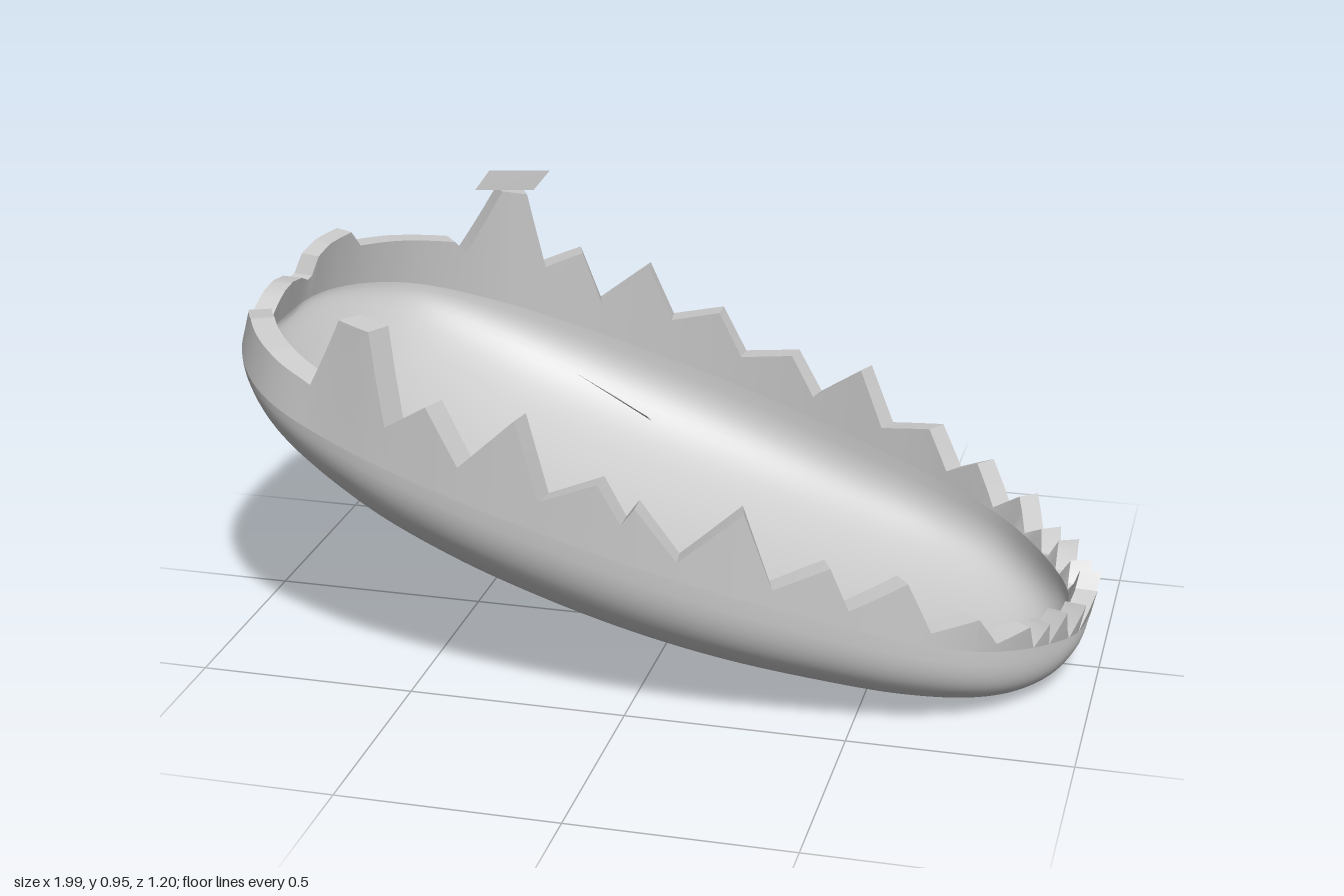
import * as THREE from 'three';
import { toCreasedNormals } from 'three/addons/utils/BufferGeometryUtils.js';

const N = 100;                                 // stations along the length
const seam = (x) => 0.42 - 0.3 * x;            // sloping plane where bowl meets rim
const INNER = { x: 0.95, w: 0.91, d: 0.87 };   // inner skin, scaled from the outer one
const { smoothstep } = THREE.MathUtils;

// Stations: x, half width, bottom height
const spine = new THREE.CatmullRomCurve3([
  [-1, 0, 0.72], [-0.997, 0.12, 0.7], [-0.97, 0.245, 0.655], [-0.9, 0.385, 0.56], [-0.8, 0.485, 0.458],
  [-0.6, 0.563, 0.325], [-0.4, 0.593, 0.235], [-0.2, 0.6, 0.167], [0, 0.593, 0.112], [0.2, 0.567, 0.068],
  [0.4, 0.522, 0.035], [0.6, 0.465, 0.01], [0.75, 0.39, 0.001], [0.84, 0.305, 0.005], [0.91, 0.205, 0.03],
  [0.955, 0.11, 0.08], [0.972, 0, 0.128],
].map((p) => new THREE.Vector3(...p)), false, 'centripetal');
const stations = spine.getSpacedPoints(N);

// Indexed surface from rows of points
function grid(rows, flip = false) {
  const n = rows[0].length, index = [];
  for (let i = 0; i < rows.length - 1; i++) {
    for (let j = 0; j < n - 1; j++) {
      const a = i * n + j, b = a + n, c = b + 1, d = a + 1;
      if (flip) index.push(a, c, b, a, d, c);
      else index.push(a, b, c, a, c, d);
    }
  }
  const g = new THREE.BufferGeometry();
  g.setAttribute('position', new THREE.Float32BufferAttribute(rows.flat(2), 3));
  g.setIndex(index);
  g.computeVertexNormals();
  return g;
}

// Bowl skin: superelliptic half sections, squarer towards the low end
function bowl(k, flip) {
  const M = 44;
  const rows = stations.map((s) => {
    const depth = Math.max(0, seam(s.x) - s.z) * k.d;
    const e = 2 / (2.5 + 0.5 * s.x), x = s.x * k.x, row = [];
    for (let j = 0; j <= M; j++) {
      const t = (j / M - 0.5) * Math.PI;
      const side = Math.sign(t) * Math.abs(Math.sin(t)) ** e;
      const down = Math.max(0, Math.cos(t)) ** e;
      row.push([x, seam(x) - depth * down, s.y * k.w * side]);
    }
    return row;
  });
  return grid(rows, flip);
}

// Fractional station where a coordinate ('x' or width 'y') crosses a value
function locate(key, value, from, to) {
  for (let i = from; i < to; i++) {
    const a = stations[i][key], b = stations[i + 1][key];
    if ((a - value) * (b - value) <= 0 && a !== b) return i + (value - a) / (b - a);
  }
  return from;
}
const half = N / 2;
const around = (k, sign) => (sign > 0 ? k : 2 * N - k);
const sidePoint = (sign) => ([x, y]) => [around(locate('x', x, 0, N), sign), y];
const backPoint = ([z, y]) => [around(locate('y', Math.abs(z), 0, half - 18), z), y];
const frontPoint = ([z, y]) => [around(locate('y', Math.abs(z), half + 12, N), z || 1), y];

// Broken edge: heights around the rim
function rimHeights() {
  const left = [[-0.74, 0.74], [-0.71, 0.73], [-0.64, 0.89], [-0.55, 0.88], [-0.51, 0.67], [-0.41, 0.73],
    [-0.34, 0.6], [-0.21, 0.72], [-0.16, 0.54], [-0.03, 0.59], [0.02, 0.5], [0.05, 0.54], [0.14, 0.42],
    [0.28, 0.535], [0.34, 0.36], [0.46, 0.41], [0.5, 0.31], [0.62, 0.37], [0.67, 0.25], [0.76, 0.27],
    [0.8, 0.2]];
  const right = [[-0.74, 0.76], [-0.71, 0.73], [-0.62, 0.89], [-0.55, 0.88], [-0.5, 0.69], [-0.4, 0.73],
    [-0.35, 0.6], [-0.22, 0.7], [-0.16, 0.57], [-0.03, 0.6], [0.03, 0.49], [0.17, 0.51], [0.23, 0.41],
    [0.36, 0.5], [0.42, 0.36], [0.55, 0.38], [0.6, 0.28], [0.68, 0.32], [0.73, 0.22], [0.79, 0.27],
    [0.82, 0.19]];
  const back = [[0.45, 0.77], [0.32, 0.795], [0.23, 0.785], [0.19, 0.735], [0.175, 0.725], [0.12, 0.75],
    [0.06, 0.778], [0.01, 0.785], [-0.06, 0.775], [-0.11, 0.755], [-0.13, 0.76], [-0.15, 0.805],
    [-0.2, 0.825], [-0.28, 0.835], [-0.32, 0.79], [-0.42, 0.78]];
  const front = [[0.285, 0.22], [0.26, 0.14], [0.235, 0.21], [0.215, 0.13], [0.19, 0.22], [0.145, 0.11],
    [0.12, 0.21], [0.1, 0.125], [0.05, 0.215], [0, 0.135], [-0.06, 0.215], [-0.1, 0.115], [-0.15, 0.2],
    [-0.19, 0.11], [-0.22, 0.22], [-0.255, 0.13], [-0.285, 0.22]];
  return [...left.map(sidePoint(1)), ...right.map(sidePoint(-1)), ...back.map(backPoint),
    ...front.map(frontPoint)].sort((a, b) => a[0] - b[0]);
}

// Jagged wall standing on the seam: outside, top and inside in one strip
function rim() {
  const pts = rimHeights(), n = pts.length;
  const first = pts[0], last = pts[n - 1];
  const loop = [[last[0] - 2 * N, last[1]], ...pts, [first[0] + 2 * N, first[1]]];
  const height = (s) => {
    const i = Math.max(1, loop.findIndex((p) => p[0] >= s));
    const [s0, y0] = loop[i - 1], [s1, y1] = loop[i];
    return y0 + (y1 - y0) * (s - s0) / Math.max(1e-6, s1 - s0);
  };
  const steps = [...Array(2 * N + 1).keys(), ...pts.map((p) => p[0])].sort((a, b) => a - b)
    .filter((s, i, all) => i === 0 || s - all[i - 1] > 1e-4);
  const rows = steps.map((s) => {
    const k = s <= N ? s : 2 * N - s, i = Math.min(N - 1, Math.floor(k));
    const p = stations[i].clone().lerp(stations[i + 1], k - i);
    const z = p.y * (s <= N ? 1 : -1), xi = p.x * INNER.x, zi = z * INNER.w;
    const y = Math.max(height(s), seam(p.x)), yi = Math.max(y, seam(xi));
    // the wall flares at the low end and closes in at the high end
    const lean = 0.3 * smoothstep(p.x, 0.6, 0.95) - 0.25 * smoothstep(-p.x, 0.4, 0.9);
    const f = 1 + lean * (y - seam(p.x));
    return [[p.x, seam(p.x), z], [p.x * f, y, z * f], [xi * f, yi, zi * f], [xi, seam(xi), zi]];
  });
  return toCreasedNormals(grid(rows), 0.5);
}

// Thin four-cornered chip
const chip = (a, b, c, d) => grid([[a, d], [b, c]]);

export function createModel() {
  const group = new THREE.Group();
  const add = (name, geometry, side = THREE.FrontSide) => {
    const mesh = new THREE.Mesh(geometry, new THREE.MeshStandardMaterial({ color: 0xcccccc, side }));
    mesh.name = name;
    group.add(mesh);
  };
  add('outerShell', bowl({ x: 1, w: 1, d: 1 }, false));
  add('innerShell', bowl(INNER, true));
  add('brokenRim', rim());

  // Loose fragments
  add('rimFragment', chip([-0.63, 0.9, -0.455], [-0.49, 0.9, -0.49], [-0.45, 0.95, -0.5],
    [-0.595, 0.95, -0.465]), THREE.DoubleSide);
  add('innerFragment', chip([-0.22, 0.645, 0.085], [-0.1, 0.615, 0.145], [-0.01, 0.592, 0.205],
    [-0.02, 0.607, 0.215]), THREE.DoubleSide);
  return group;
}
